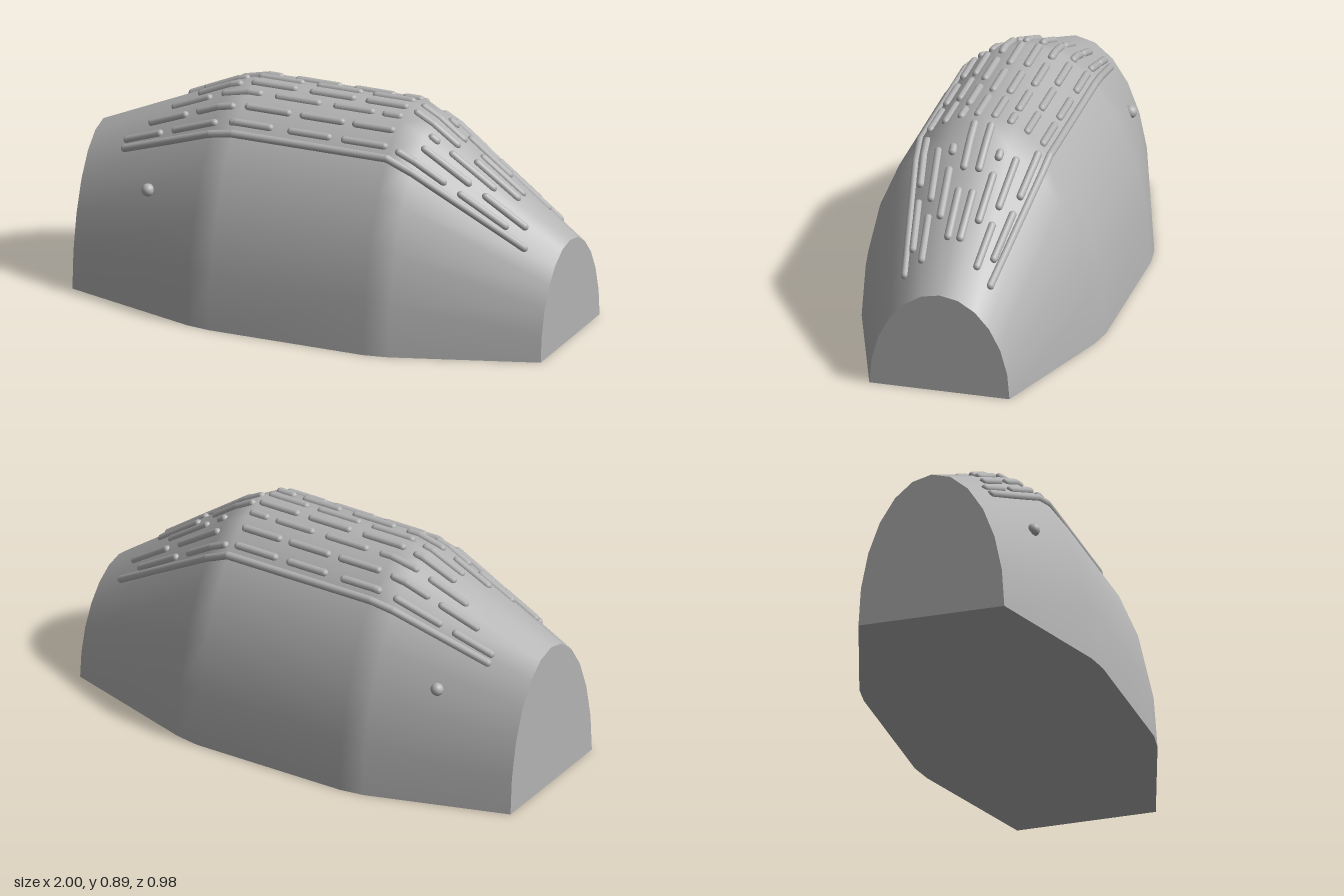
import * as THREE from 'three';

// body stations along x: [x, height, half width]
const STATIONS = [
  [-1, 0.61, 0.3], [-0.43, 0.862, 0.478], [-0.33, 0.885, 0.492],
  [0.33, 0.885, 0.492], [0.43, 0.83, 0.474], [1, 0.415, 0.285],
];
const SIDES = 12;

// unit half-ellipse section point
const unit = (j) => [Math.cos((Math.PI * j) / SIDES), Math.sin((Math.PI * j) / SIDES)];

function sectionAt(x) {
  let i = 0;
  while (i < STATIONS.length - 2 && x > STATIONS[i + 1][0]) i++;
  const [a, b] = [STATIONS[i], STATIONS[i + 1]];
  const t = (x - a[0]) / (b[0] - a[0]);
  return [a[1] + (b[1] - a[1]) * t, a[2] + (b[2] - a[2]) * t];
}

// point on the faceted shell; u is the sideways fraction of the half width
function onShell(x, u) {
  const [h, w] = sectionAt(x);
  let j = 0;
  while (j < SIDES - 1 && unit(j + 1)[0] > u) j++;
  const [a, b] = [unit(j), unit(j + 1)];
  const v = a[1] + ((b[1] - a[1]) * (u - a[0])) / (b[0] - a[0]);
  return new THREE.Vector3(x, h * v, w * u);
}

function buildGeometry(points, index) {
  const g = new THREE.BufferGeometry();
  g.setAttribute('position', new THREE.Float32BufferAttribute(points, 3));
  g.setIndex(index);
  g.computeVertexNormals();
  return g;
}

// strip of quads joining rows of equal length
function loft(rows) {
  const n = rows[0].length, index = [];
  for (let i = 0; i < rows.length - 1; i++) {
    for (let j = 0; j < n - 1; j++) {
      const a = i * n + j, b = a + n;
      index.push(a, b, b + 1, a, b + 1, a + 1);
    }
  }
  return buildGeometry(rows.flat(2), index);
}

const sectionRow = ([x, h, w]) =>
  Array.from({ length: SIDES + 1 }, (_, j) => [x, h * unit(j)[1], w * unit(j)[0]]);

function endCap(station, dir) {
  const points = [[station[0], 0, 0], ...sectionRow(station)], index = [];
  for (let j = 1; j <= SIDES; j++) index.push(0, ...(dir > 0 ? [j + 1, j] : [j, j + 1]));
  return buildGeometry(points.flat(), index);
}

export function createModel() {
  const grey = new THREE.MeshStandardMaterial({ color: 0xb3b3b3 });
  grey.name = 'grey';
  const model = new THREE.Group();
  model.name = 'ridgedShell';
  const add = (parent, geometry, name) => {
    const mesh = new THREE.Mesh(geometry, grey);
    mesh.name = name;
    parent.add(mesh);
    return mesh;
  };

  // closed shell
  add(model, loft(STATIONS.map(sectionRow)), 'shell');
  add(model, loft(STATIONS.map(([x, , w]) => [[x, 0, -w], [x, 0, w]])), 'base');
  add(model, endCap(STATIONS[0], -1), 'tallEnd');
  add(model, endCap(STATIONS[STATIONS.length - 1], 1), 'lowEnd');

  // rounded bar lying on the shell, bending where the shell bends
  const up = new THREE.Vector3(0, 1, 0);
  function ridge(parent, x0, x1, u) {
    const r = 0.016;
    const xs = [x0 + r, ...STATIONS.map((s) => s[0]).filter((x) => x > x0 + r && x < x1 - r), x1 - r];
    for (let i = 0; i < xs.length - 1; i++) {
      const a = onShell(xs[i], u), b = onShell(xs[i + 1], u);
      const bar = add(parent, new THREE.CapsuleGeometry(r, a.distanceTo(b), 4, 10), 'ridge');
      bar.position.copy(a).add(b).multiplyScalar(0.5);
      bar.quaternion.setFromUnitVectors(up, b.sub(a).normalize());
    }
  }

  // ridge rows: z at mid body, then start and end of each bar
  const rows = [
    [0.034, [[-0.58, -0.385], [-0.35, -0.15], [-0.1, 0.1], [0.14, 0.325], [0.345, 0.545], [0.6, 0.8]]],
    [0.1, [[-0.67, -0.49], [-0.45, -0.27], [-0.22, -0.02], [0.03, 0.21], [0.24, 0.33], [0.435, 0.485], [0.52, 0.72]]],
    [0.165, [[-0.75, -0.57], [-0.535, -0.36], [-0.32, -0.12], [-0.085, 0.11], [0.14, 0.325], [0.43, 0.64], [0.68, 0.87]]],
    [0.228, [[-0.84, -0.66], [-0.62, -0.41], [-0.36, -0.17], [-0.11, 0.08], [0.12, 0.32], [0.35, 0.56], [0.6, 0.81]]],
    [0.262, [[-0.84, 0.895]]],
  ];
  for (const side of [1, -1]) {
    const ridges = new THREE.Group();
    ridges.name = side > 0 ? 'frontRidges' : 'backRidges';
    model.add(ridges);
    for (const [z, bars] of rows) {
      for (const [x0, x1] of bars) ridge(ridges, x0, x1, (side * z) / 0.492);
    }
    // small stud on each flank
    const stud = add(model, new THREE.SphereGeometry(0.026, 16, 12), side > 0 ? 'frontStud' : 'backStud');
    stud.position.set(-0.67, 0.473, side * 0.315);
  }
  return model;
}
